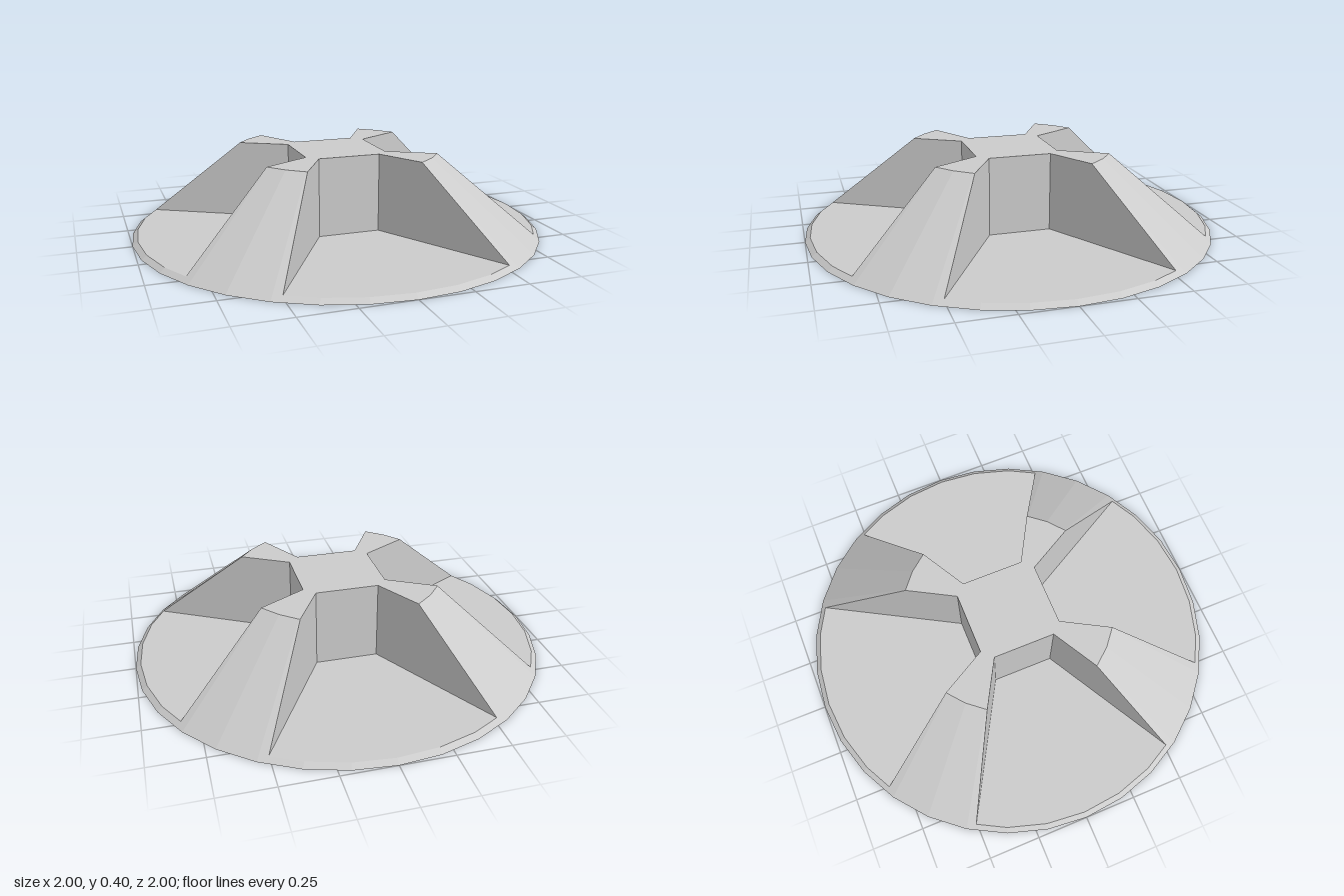
import * as THREE from 'three';

const SIDES = 32;
const FLOOR = 0.02, TOP = 0.4;
const radiusAt = (y) => 1 - 1.25 * y; // cone slope
const material = new THREE.MeshStandardMaterial({ color: 0xcccccc, flatShading: true });

// Cross-shaped outline [x, z] of the raised part at height y
function crossSection(y) {
  const r = radiusAt(y);
  const step = (2 * Math.PI) / SIDES;
  // pocket wall z = 0.15 + slope * (x - 0.2), met with the cone facet it runs into
  const slope = 0.5625, offset = 0.15 - slope * 0.2, a = 2.5 * step;
  const wx = (r * Math.cos(step / 2) - offset * Math.sin(a)) / (Math.cos(a) + slope * Math.sin(a));
  const wz = offset + slope * wx;
  const rim = [3, 4, 5].map((k) => [r * Math.cos(k * step), r * Math.sin(k * step)]);
  const arm = [[0.2, 0.15], [wx, wz], ...rim, [wz, wx], [0.15, 0.2]];
  const loop = [];
  for (let q = 0; q < 4; q++) {
    const c = Math.round(Math.cos(q * Math.PI / 2)), s = Math.round(Math.sin(q * Math.PI / 2));
    for (const [x, z] of arm) loop.push([c * x - s * z, s * x + c * z]);
  }
  return loop;
}

// Walls joining the outline at the floor to the outline at the top
function wallGeometry() {
  const low = crossSection(FLOOR), high = crossSection(TOP);
  const positions = [];
  const put = ([x, z], y) => positions.push(x, y, z);
  low.forEach((b0, i) => {
    const j = (i + 1) % low.length;
    put(b0, FLOOR); put(high[i], TOP); put(low[j], FLOOR);
    put(low[j], FLOOR); put(high[i], TOP); put(high[j], TOP);
  });
  const geometry = new THREE.BufferGeometry();
  geometry.setAttribute('position', new THREE.Float32BufferAttribute(positions, 3));
  geometry.computeVertexNormals();
  return geometry;
}

export function createModel() {
  const group = new THREE.Group();
  group.name = 'quarteredConeBase';
  const add = (name, geometry) => {
    const mesh = new THREE.Mesh(geometry, material);
    mesh.name = name;
    group.add(mesh);
    return mesh;
  };

  // Thin bevelled disc forming the pocket floors
  add('basePlate', new THREE.CylinderGeometry(radiusAt(FLOOR), 1, FLOOR, SIDES))
    .position.y = FLOOR / 2;

  // Four diagonal ridges joined by the central block
  add('ridgeWalls', wallGeometry());

  // Flat cross-shaped top
  const outline = new THREE.Shape(crossSection(TOP).map(([x, z]) => new THREE.Vector2(x, -z)));
  add('topFace', new THREE.ShapeGeometry(outline).rotateX(-Math.PI / 2)).position.y = TOP;

  return group;
}
